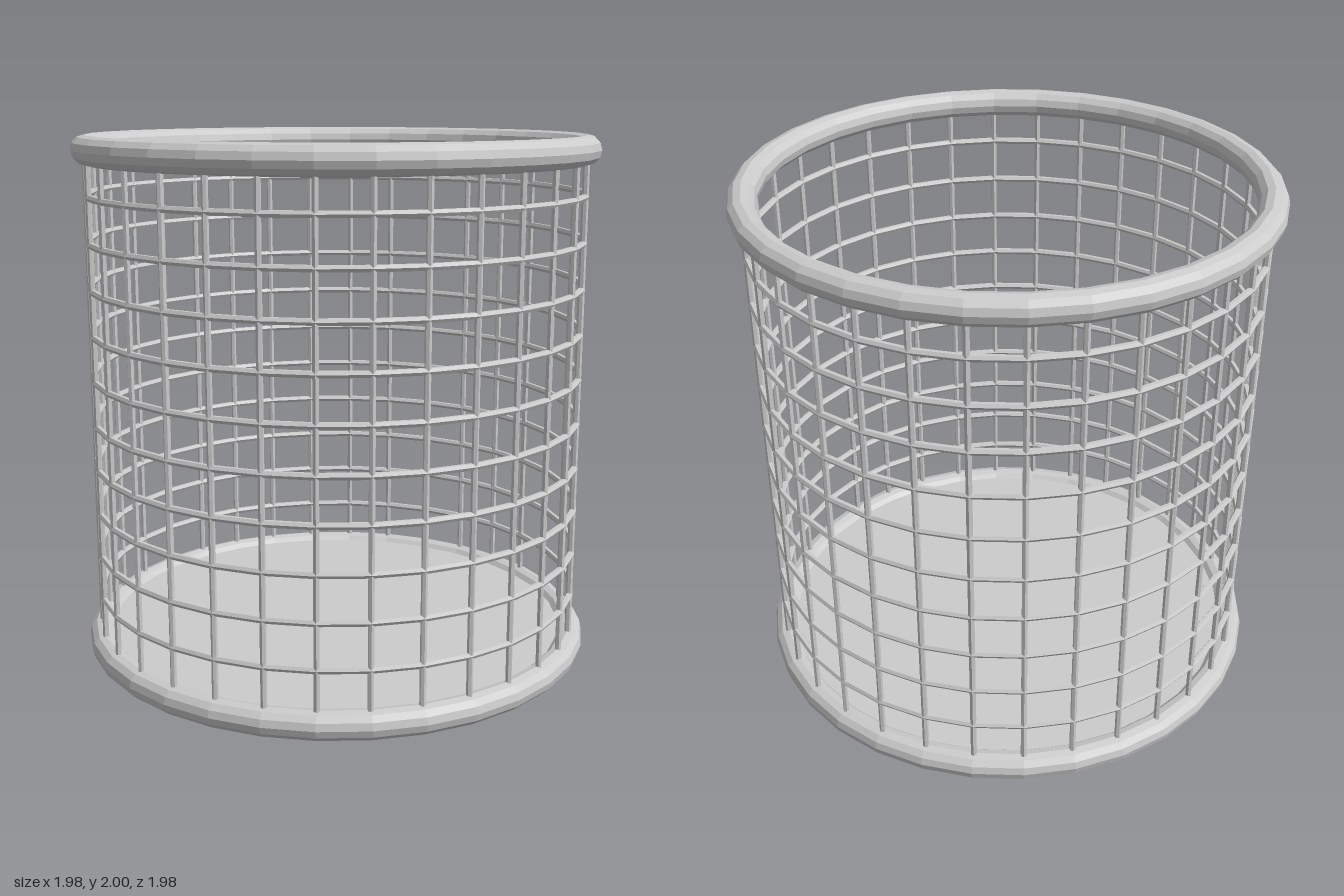
import * as THREE from 'three';

const RADIUS = 0.935;   // centre line of the wire wall
const SIDES = 32;       // sides of the basket and number of uprights
const RIM = 0.053;      // rim tube radius
const WIRE = 0.013;     // wire radius

export function createModel() {
  const basket = new THREE.Group();
  basket.name = 'wireBasket';
  const material = new THREE.MeshStandardMaterial({ color: 0xcccccc, flatShading: true });

  const add = (name, geometry, y, mat = material) => {
    const mesh = new THREE.Mesh(geometry, mat);
    mesh.name = name;
    mesh.position.y = y;
    basket.add(mesh);
    return mesh;
  };
  const hoop = (tube, tubeSides) =>
    new THREE.TorusGeometry(RADIUS, tube, tubeSides, SIDES).rotateX(Math.PI / 2);

  // Thick rims at the top and bottom
  const rimGeometry = hoop(RIM, 12);
  add('bottomRim', rimGeometry, RIM);
  add('topRim', rimGeometry, 2 - RIM);

  // Thin floor set inside the bottom rim
  const floorMaterial = material.clone();
  floorMaterial.side = THREE.DoubleSide;
  add('floor', new THREE.CircleGeometry(RADIUS, SIDES).rotateX(-Math.PI / 2), 0.082, floorMaterial);

  // Horizontal wire hoops
  const hoopGeometry = hoop(WIRE, 6);
  for (let i = 0; i < 10; i++) add('wireHoop', hoopGeometry, 0.252 + i * 0.1698);

  // Upright wires
  const uprightGeometry = new THREE.CylinderGeometry(WIRE * 0.9, WIRE * 0.9, 2 - 2 * RIM, 6);
  for (let i = 0; i < SIDES; i++) {
    const angle = (i / SIDES) * Math.PI * 2;
    const upright = add('uprightWire', uprightGeometry, 1);
    upright.position.x = Math.sin(angle) * RADIUS;
    upright.position.z = Math.cos(angle) * RADIUS;
    upright.rotation.y = angle;
  }
  return basket;
}
